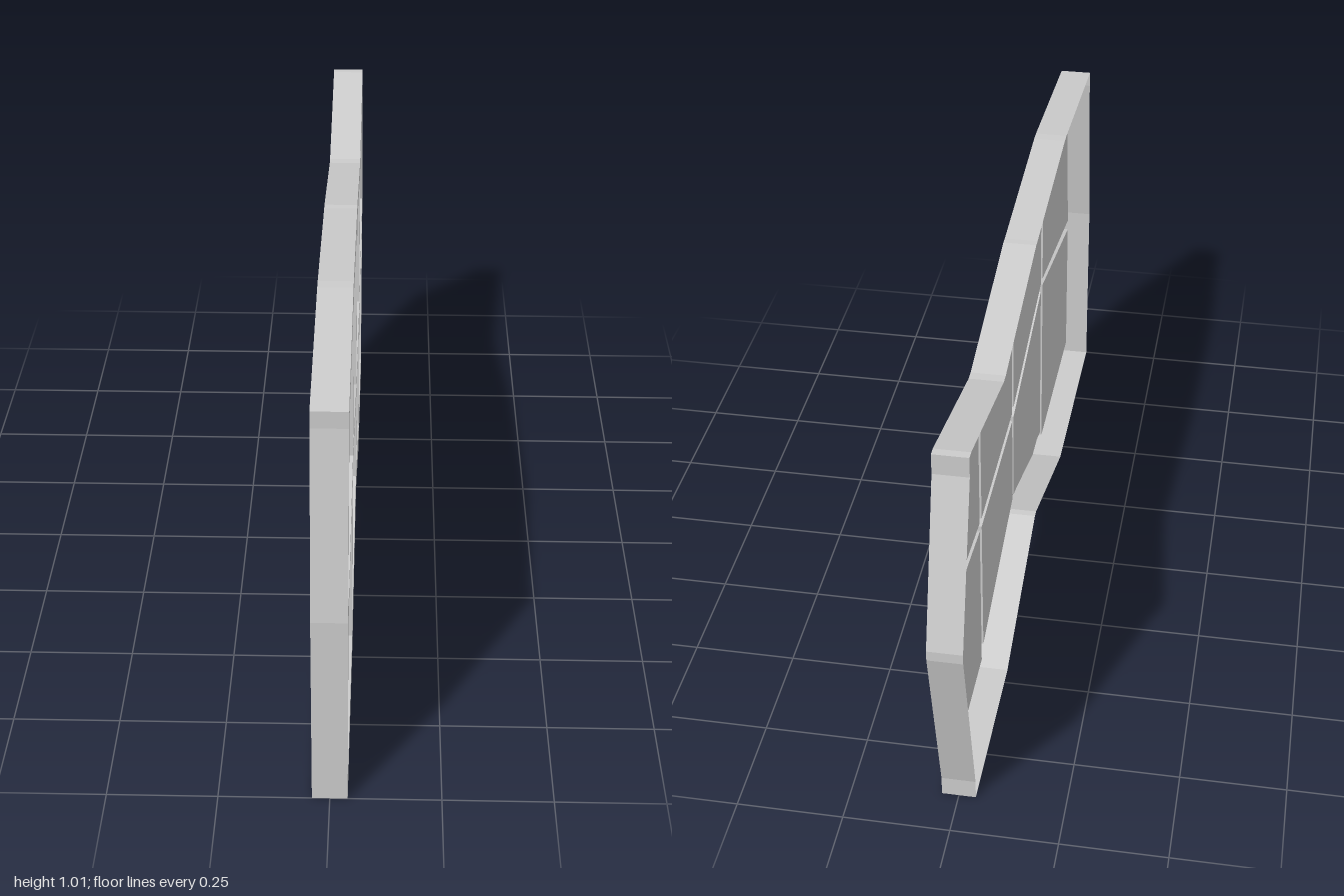
import * as THREE from 'three';

const HALF = 0.04;      // half the thickness of the frame
const RECESS = 0.02;    // depth of the panes behind the face

const material = new THREE.MeshStandardMaterial({
  color: 0xcccccc, flatShading: true, side: THREE.DoubleSide,
});

// Outlines are drawn as [z, y]; u = -z, so the loops run clockwise here.
const toPoints = (list) => list.map(([z, y]) => new THREE.Vector2(-z, y));

const OUTLINE = [
  [0.94, 0.975], [0.48, 1.013], [0.45, 1.013], [0, 0.975], [-0.02, 0.975],
  [-0.455, 0.89], [-0.48, 0.89], [-0.87, 0.98], [-0.89, 0.98], [-0.89, 0.93],
  [-1, 0.54], [-1, 0.515], [-0.89, 0.05], [-0.89, 0], [-0.455, 0],
  [-0.02, 0.15], [0, 0.15], [0.45, 0], [1, 0], [1, 0.49], [0.94, 0.935],
];

// Two rows of four panes
const PANES = [
  [[0.91, 0.935], [0.48, 0.97], [0.48, 0.575], [0.97, 0.48]],
  [[0.45, 0.97], [0, 0.93], [0, 0.48], [0.45, 0.575]],
  [[-0.02, 0.93], [-0.455, 0.85], [-0.455, 0.475], [-0.02, 0.475]],
  [[-0.48, 0.85], [-0.87, 0.935], [-0.97, 0.543], [-0.48, 0.48]],
  [[0.97, 0.45], [0.48, 0.555], [0.48, 0.05], [0.97, 0.05]],
  [[0.45, 0.55], [0, 0.45], [0, 0.2], [0.45, 0.08]],
  [[-0.02, 0.45], [-0.455, 0.45], [-0.455, 0.08], [-0.02, 0.2]],
  [[-0.48, 0.455], [-0.97, 0.52], [-0.87, 0.05], [-0.48, 0.05]],
];

// Band of quads along a closed loop; a clockwise loop faces outward when back < front
function wall(points, back, front) {
  const pos = [];
  points.forEach((a, i) => {
    const b = points[(i + 1) % points.length];
    pos.push(a.x, a.y, back, a.x, a.y, front, b.x, b.y, front);
    pos.push(a.x, a.y, back, b.x, b.y, front, b.x, b.y, back);
  });
  const geometry = new THREE.BufferGeometry();
  geometry.setAttribute('position', new THREE.Float32BufferAttribute(pos, 3));
  geometry.computeVertexNormals();
  return geometry;
}

export function createModel() {
  const group = new THREE.Group();
  group.name = 'windowPanel';
  const add = (name, geometry) => {
    geometry.rotateY(Math.PI / 2); // u becomes -z, depth becomes +x
    const mesh = new THREE.Mesh(geometry, material);
    mesh.name = name;
    group.add(mesh);
  };

  // Frame face with its mullions, open behind
  const outline = toPoints(OUTLINE);
  const panes = PANES.map(toPoints);
  const face = new THREE.Shape(outline);
  face.holes = panes.map((p) => new THREE.Path(p));
  add('frameFace', new THREE.ShapeGeometry(face).translate(0, 0, HALF));

  // Outer rim
  add('frameRim', wall(outline, -HALF, HALF));

  // Recessed panes and the reveals around them
  panes.forEach((p, i) => {
    add(`pane${i + 1}`, new THREE.ShapeGeometry(new THREE.Shape(p)).translate(0, 0, HALF - RECESS));
    add(`paneReveal${i + 1}`, wall([...p].reverse(), HALF - RECESS, HALF));
  });

  return group;
}
